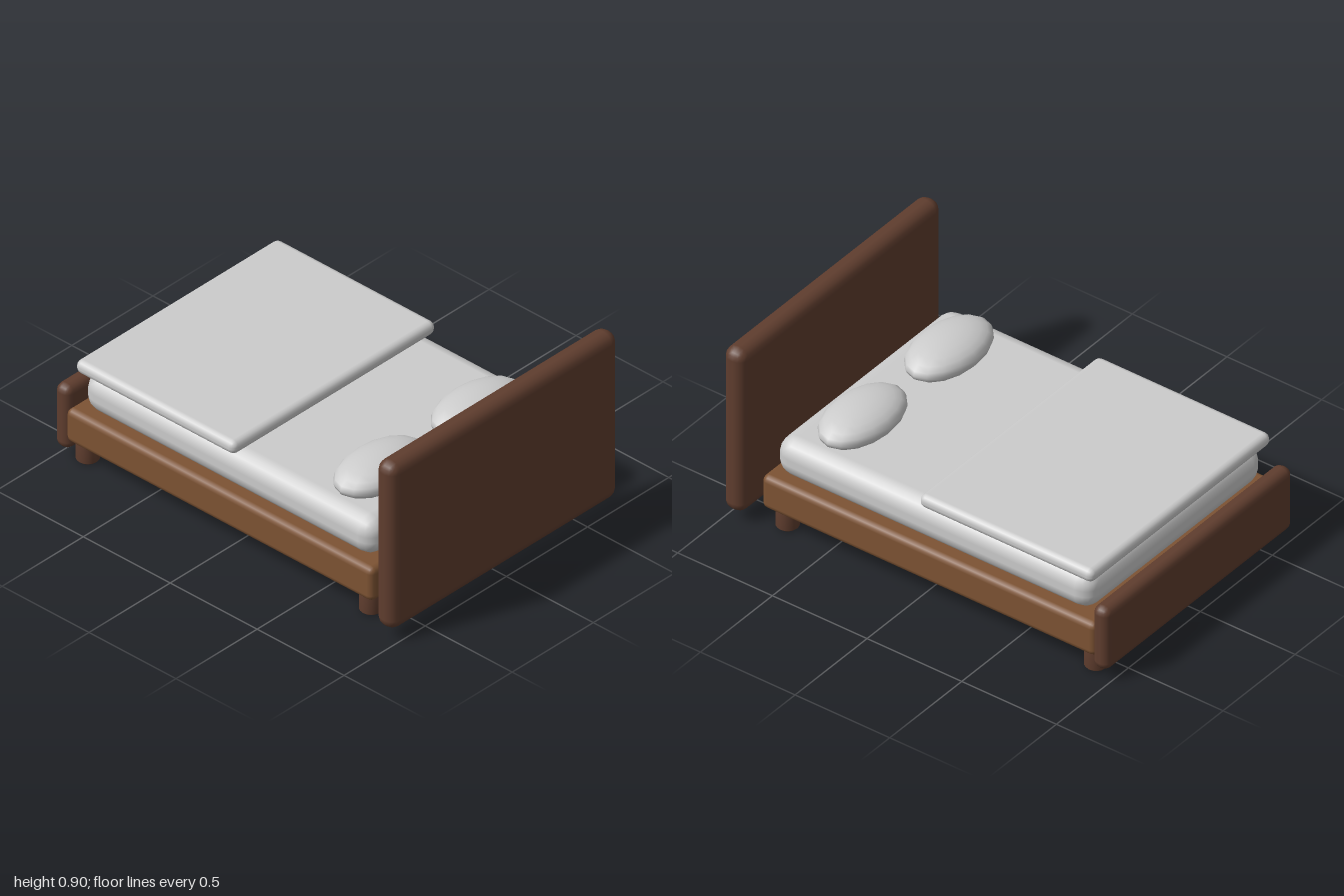
import * as THREE from 'three';
import { RoundedBoxGeometry } from 'three/addons/geometries/RoundedBoxGeometry.js';

export function createModel() {
  const bed = new THREE.Group();
  bed.name = 'bed';

  const material = (name, color) => {
    const m = new THREE.MeshStandardMaterial({ color });
    m.name = name;
    return m;
  };
  const darkWood = material('dark wood', 0x5f3d2e);
  const wood = material('wood', 0x7d5333);
  const linen = material('linen', 0xcccccc);

  const add = (name, geometry, mat, x = 0, y = 0, z = 0) => {
    const mesh = new THREE.Mesh(geometry, mat);
    mesh.name = name;
    mesh.position.set(x, y, z);
    bed.add(mesh);
    return mesh;
  };

  // Rounded slab centred on x, given its half width and its y and z ranges
  const slab = (name, mat, halfX, y0, y1, z0, z1, radius) =>
    add(name, new RoundedBoxGeometry(2 * halfX, y1 - y0, z1 - z0, 2, radius),
      mat, 0, (y0 + y1) / 2, (z0 + z1) / 2);

  slab('headboard', darkWood, 0.7, 0.055, 0.9, 0.89, 1, 0.05);
  slab('footboard', darkWood, 0.65, 0.055, 0.376, -1, -0.915, 0.038);
  slab('frame', wood, 0.648, 0.105, 0.275, -0.935, 0.83, 0.03);
  slab('mattress', linen, 0.613, 0.275, 0.465, -0.88, 0.795, 0.08);
  slab('blanket', linen, 0.626, 0.459, 0.525, -0.902, 0.016, 0.03);

  // Round legs with softened bottom and top rims
  const legProfile = [[0, 0], [0.044, 0], [0.052, 0.008], [0.052, 0.112], [0.044, 0.12], [0, 0.12]]
    .map(([r, y]) => new THREE.Vector2(r, y));
  const legGeometry = new THREE.LatheGeometry(legProfile, 16);

  // Flattened round pillows
  const pillowGeometry = new THREE.SphereGeometry(1, 16, 12).scale(0.248, 0.08, 0.148);

  for (const side of [-1, 1]) {
    const label = side > 0 ? 'left' : 'right';
    add(label + 'FrontLeg', legGeometry, darkWood, side * 0.565, 0, 0.75);
    add(label + 'BackLeg', legGeometry, darkWood, side * 0.565, 0, -0.88);
    add(label + 'Pillow', pillowGeometry, linen, side * 0.3, 0.502, 0.556);
  }
  return bed;
}
